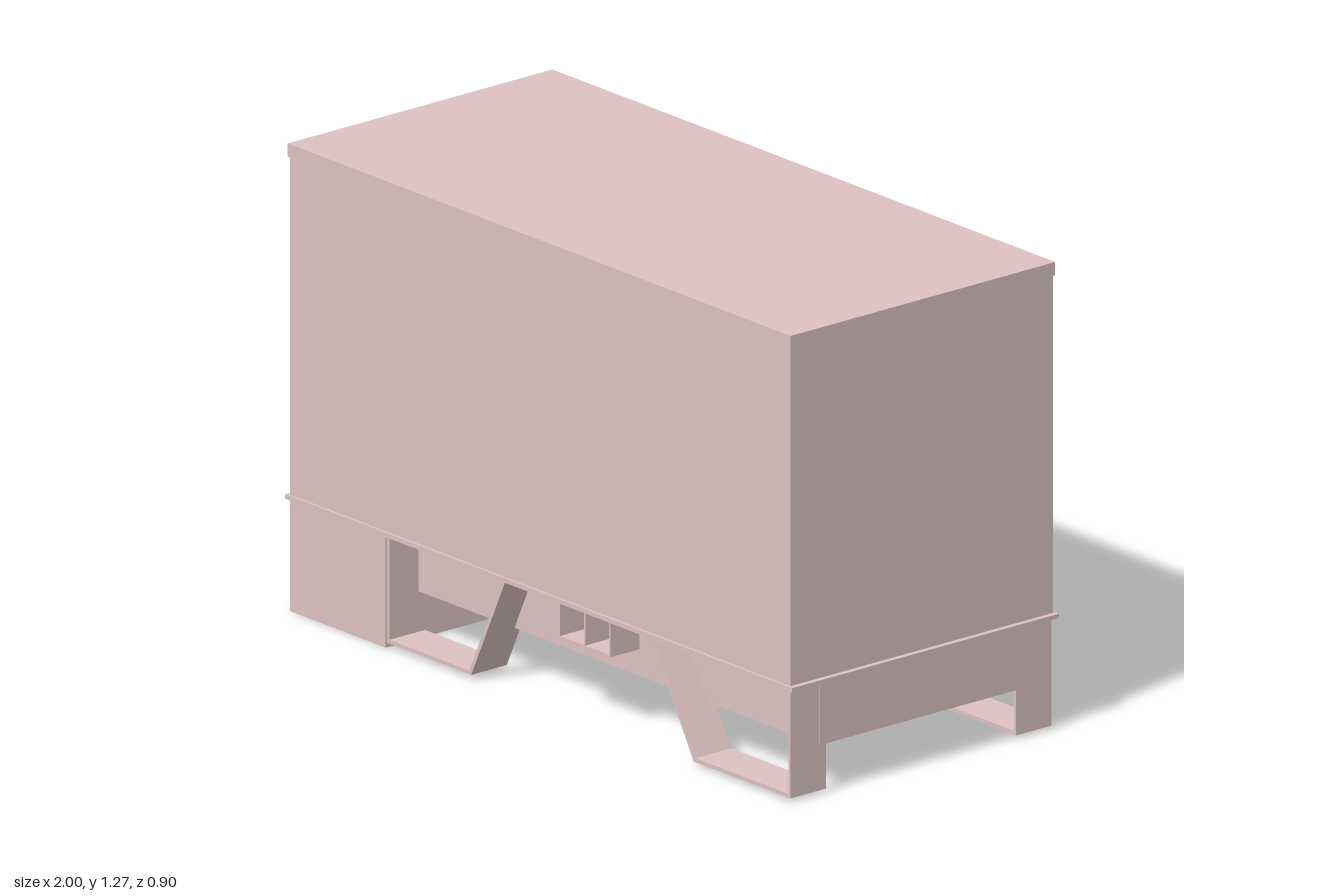
import * as THREE from 'three';

export function createModel() {
  const model = new THREE.Group();
  const mat = new THREE.MeshStandardMaterial({ color: 0xddc2c2, flatShading: true });

  // Box given by its minimum and maximum corners
  const box = (name, [x0, y0, z0], [x1, y1, z1], parent = model) => {
    const mesh = new THREE.Mesh(new THREE.BoxGeometry(x1 - x0, y1 - y0, z1 - z0), mat);
    mesh.position.set((x0 + x1) / 2, (y0 + y1) / 2, (z0 + z1) / 2);
    mesh.name = name;
    parent.add(mesh);
  };

  // Container body, roof lip and floor plate
  box('cargoBody', [-0.99, 0.318, -0.442], [0.985, 1.24, 0.442]);
  box('roof', [-0.994, 1.236, -0.446], [0.99, 1.272, 0.446]);
  box('floorPlate', [-1, 0.308, -0.45], [1, 0.32, 0.45]);

  // Undercarriage: full-width block at one end, narrower chassis for the rest
  box('endBlock', [-0.99, 0.004, -0.442], [-0.612, 0.31, 0.442]);
  box('chassis', [-0.615, 0.138, -0.342], [0.985, 0.31, 0.342]);

  // Open guard frame: outline with an inset opening, extruded across its depth
  const guardFrame = (name, outer, inner, z0, z1) => {
    const shape = new THREE.Shape(outer.map(p => new THREE.Vector2(...p)));
    shape.holes.push(new THREE.Path(inner.map(p => new THREE.Vector2(...p))));
    const geo = new THREE.ExtrudeGeometry(shape, { depth: z1 - z0, bevelEnabled: false });
    const mesh = new THREE.Mesh(geo, mat);
    mesh.position.z = z0;
    mesh.name = name;
    model.add(mesh);
  };
  const frames = {
    RearGuard: [
      [[-0.61, 0.018], [-0.277, 0.018], [-0.14, 0.312], [-0.61, 0.312]],
      [[-0.6, 0.028], [-0.285, 0.028], [-0.156, 0.305], [-0.6, 0.305]],
    ],
    FrontGuard: [
      [[0.6, 0.014], [0.982, 0.014], [0.982, 0.312], [0.43, 0.312]],
      [[0.607, 0.025], [0.974, 0.025], [0.974, 0.305], [0.446, 0.305]],
    ],
  };

  // Guards and open-fronted shelf on both long sides
  for (const s of [1, -1]) {
    const side = s > 0 ? 'near' : 'far';
    const span = (a, b) => (s > 0 ? [a, b] : [-b, -a]);
    const [g0, g1] = span(0.32, 0.44);
    for (const [name, [outer, inner]] of Object.entries(frames)) {
      guardFrame(side + name, outer, inner, g0, g1);
    }

    const shelf = new THREE.Group();
    shelf.name = side + 'Shelf';
    const [z0, z1] = span(0.34, 0.44);
    box('shelfBottom', [0.068, 0.21, z0], [0.272, 0.216, z1], shelf);
    for (const x of [0.068, 0.167, 0.266]) {
      box('shelfDivider', [x, 0.213, z0], [x + 0.006, 0.31, z1], shelf);
    }
    model.add(shelf);
  }
  return model;
}
